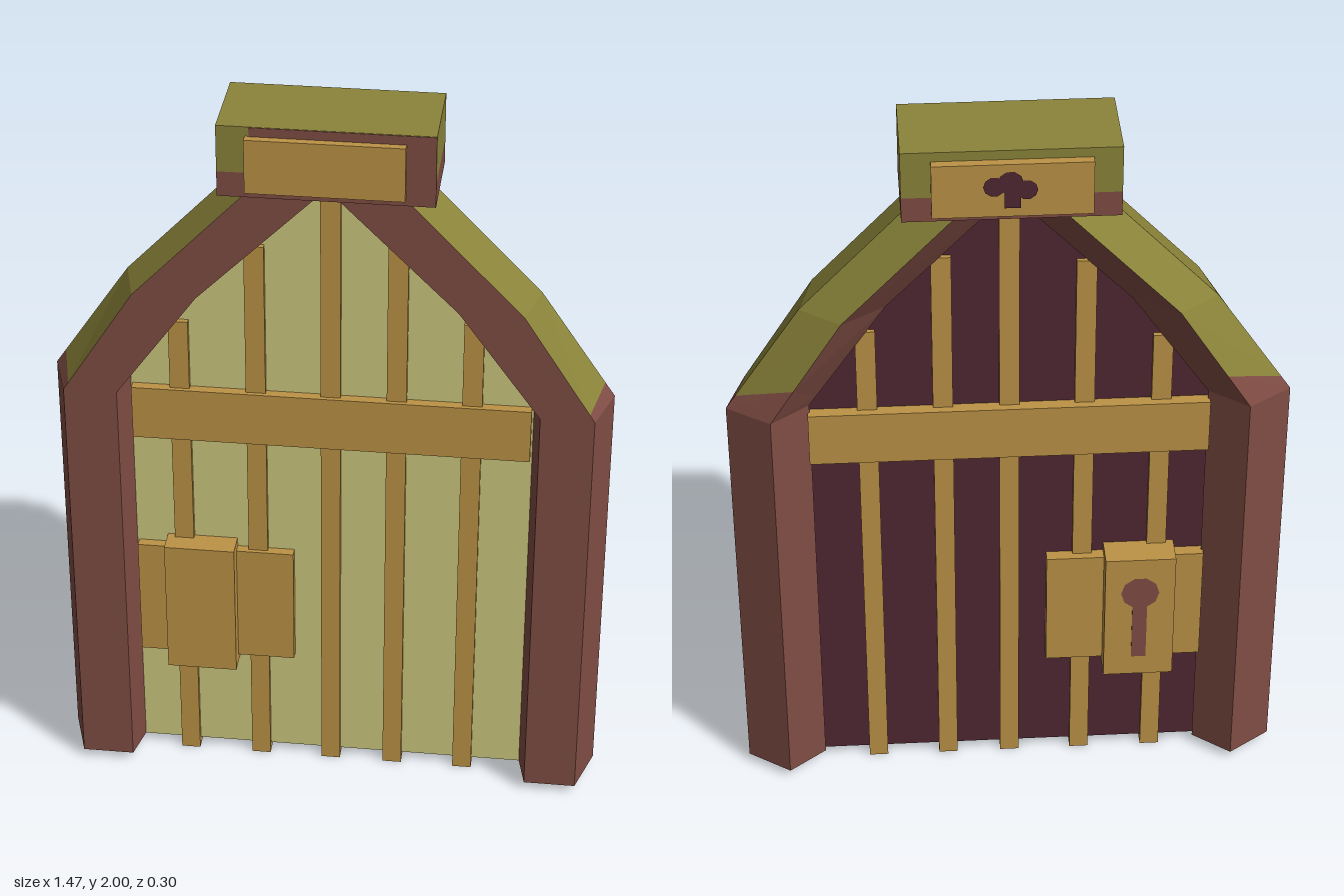
import * as THREE from 'three';

const mat = (name, color, side = THREE.FrontSide) => {
  const m = new THREE.MeshStandardMaterial({ color, side });
  m.name = name;
  return m;
};

export function createModel() {
  const group = new THREE.Group();
  group.name = 'archedDoor';
  const brown = mat('frameBrown', 0x804d44);
  const moss = mat('mossGreen', 0x8b843a);
  const gold = mat('goldenWood', 0xbc9245);
  const pale = mat('palePanel', 0xccc87e);
  const maroon = mat('darkMaroon', 0x4f2833);
  const navy = mat('darkUnderside', 0x3a4754);

  const add = (name, geometry, material) => {
    const mesh = new THREE.Mesh(geometry, material);
    mesh.name = name;
    group.add(mesh);
    return mesh;
  };
  // box given by its limits on each axis
  const box = (name, [x0, x1], [y0, y1], [z0, z1], material) => {
    const mesh = add(name, new THREE.BoxGeometry(x1 - x0, y1 - y0, z1 - z0), material);
    mesh.position.set((x0 + x1) / 2, (y0 + y1) / 2, (z0 + z1) / 2);
    return mesh;
  };

  // frame: five-sided section (outer front, outer ridge, back, inner ridge, inner front)
  const depths = [0.11, -0.03, -0.11, -0.03, 0.11];
  const ring = (y, xs) => xs.map((x, i) => new THREE.Vector3(x, y, depths[i]));
  const foot = ring(0.025, [0.69, 0.735, 0.62, 0.52, 0.55]);
  const shoulder = ring(1.21, [0.69, 0.735, 0.62, 0.52, 0.55]);
  const bend = ring(1.505, [0.5, 0.535, 0.43, 0.315, 0.335]);
  const crown = ring(1.825, [0.19, 0.225, 0.12, 0, 0.01]);
  const mossLine = [0.07, 0.13, 0.33, 0.1, 0.1];
  const edge = shoulder.map((p, i) => p.clone().lerp(bend[i], mossLine[i]));
  const rings = [foot, shoulder, edge, bend, crown];

  for (const side of [1, -1]) {
    const wood = [], growth = [];
    const tri = (list, a, b, c) => {
      for (const p of side > 0 ? [a, b, c] : [a, c, b]) list.push(p.x * side, p.y, p.z);
    };
    for (let r = 0; r < rings.length - 1; r++) {
      for (let i = 0; i < 5; i++) {
        const j = (i + 1) % 5;
        // moss lies on the two outer faces above its lower edge
        const list = r >= 2 && i < 2 ? growth : wood;
        tri(list, rings[r][i], rings[r][j], rings[r + 1][j]);
        tri(list, rings[r][i], rings[r + 1][j], rings[r + 1][i]);
      }
    }
    for (let i = 1; i < 4; i++) {
      tri(wood, foot[0], foot[i + 1], foot[i]);
      tri(wood, crown[0], crown[i], crown[i + 1]);
    }
    const label = side > 0 ? 'left' : 'right';
    for (const [name, list, material] of [['Frame', wood, brown], ['FrameMoss', growth, moss]]) {
      const g = new THREE.BufferGeometry();
      g.setAttribute('position', new THREE.Float32BufferAttribute(list, 3));
      g.computeVertexNormals();
      add(label + name, g, material);
    }
  }

  // door panel, pale in front and dark behind
  const outline = new THREE.Shape([
    [-0.53, 0.025], [0.53, 0.025], [0.53, 1.21], [0.325, 1.51], [0, 1.83],
    [-0.325, 1.51], [-0.53, 1.21],
  ].map(([x, y]) => new THREE.Vector2(x, y)));
  const half = () => new THREE.ExtrudeGeometry(outline, { depth: 0.015, bevelEnabled: false });
  add('frontPanel', half(), [pale, navy]);
  add('backPanel', half().translate(0, 0, -0.015), [maroon, navy]);

  // upright battens reaching up to the arch
  for (const x of [-0.398, -0.197, 0, 0.173, 0.37]) {
    const a = Math.abs(x);
    const top = a > 0.32 ? 1.5 - (a - 0.32) * 1.45 : 1.81 - a * 0.97;
    box('batten', [x - 0.026, x + 0.026], [0, top], [-0.028, 0.03], gold);
  }

  // crossbar and lock
  box('crossbar', [-0.525, 0.525], [1.035, 1.187], [-0.05, 0.042],
    [gold, gold, gold, navy, gold, gold]);
  box('lockPlate', [-0.525, -0.1], [0.345, 0.69], [-0.05, 0.042], gold);
  box('lockBlock', [-0.445, -0.255], [0.322, 0.715], [-0.102, 0.084], gold);

  // flat round spots facing backwards
  const spot = (name, x, y, z, r, material) => {
    const mesh = add(name, new THREE.CircleGeometry(r, 10), material);
    mesh.position.set(x, y, z);
    mesh.rotation.y = Math.PI;
  };
  spot('keyhole', -0.35, 0.605, -0.105, 0.052, brown);
  box('keyholeSlot', [-0.37, -0.33], [0.385, 0.6], [-0.105, -0.1], brown);

  // capstone: mossy top over a brown base, with a bare front
  box('capstoneBase', [-0.272, 0.272], [1.808, 1.875], [-0.125, 0.123], brown);
  box('capstoneMoss', [-0.272, 0.272], [1.875, 2], [-0.125, 0.123], moss);
  box('capstoneFront', [-0.19, 0.272], [1.875, 1.999], [0.122, 0.125], brown);
  box('capstoneFrontPlate', [-0.2, 0.198], [1.83, 1.975], [0.12, 0.146], gold);
  box('capstoneBackPlate', [-0.2, 0.198], [1.83, 1.975], [-0.15, -0.12], gold);

  // dark blotch on the rear plate
  for (const [x, y, r] of [[0.045, 1.915, 0.027], [0.005, 1.925, 0.032], [-0.035, 1.905, 0.027]]) {
    spot('blotch', x, y, -0.153, r, maroon);
  }
  box('blotchStem', [-0.02, 0.02], [1.855, 1.92], [-0.153, -0.149], maroon);

  return group;
}
